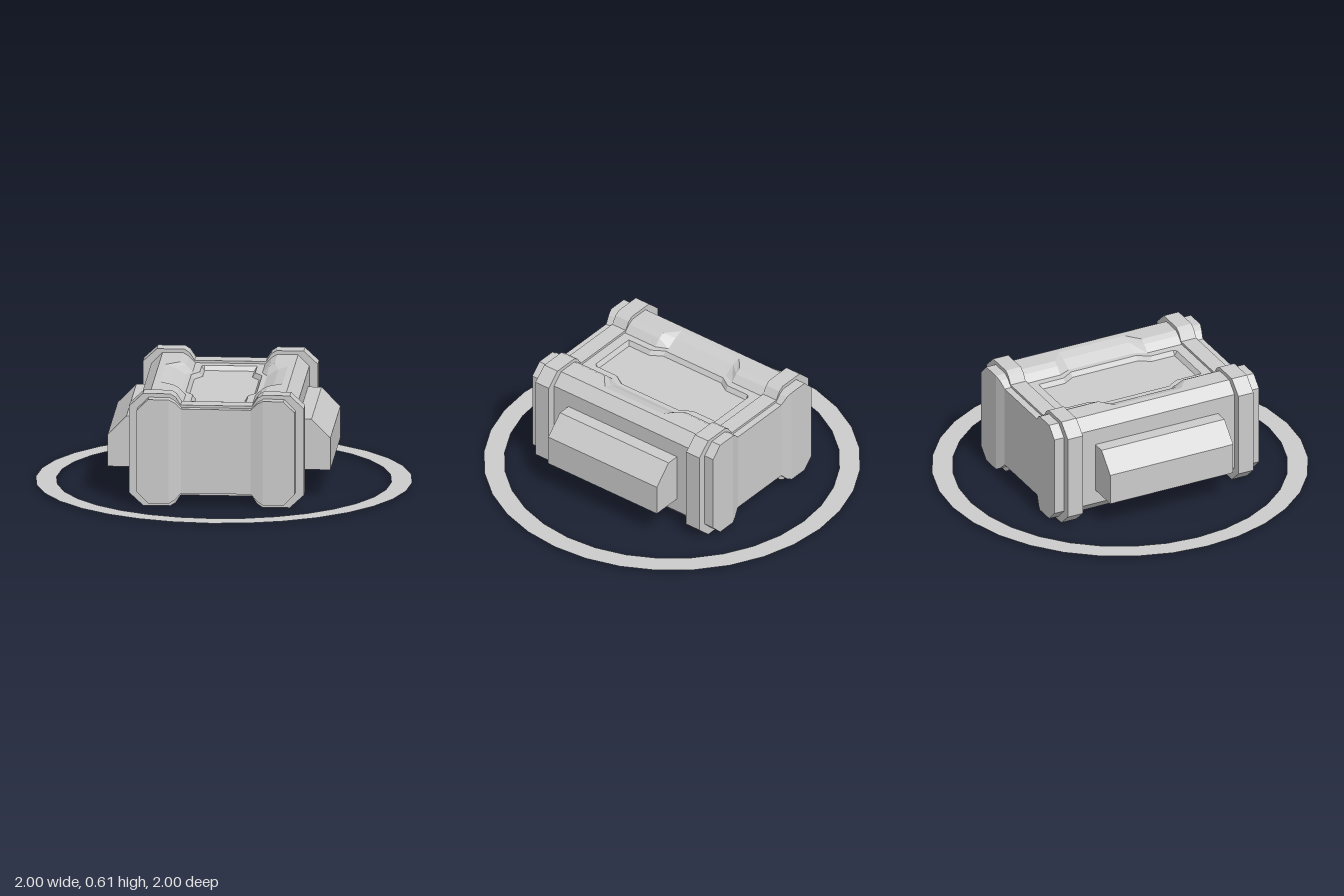
import * as THREE from 'three';

const mat = new THREE.MeshStandardMaterial({ color: 0xcccccc, flatShading: true });
const matDouble = new THREE.MeshStandardMaterial({ color: 0xcccccc, side: THREE.DoubleSide });

// Closed outline from the upper right quarter: mirrored left, then mirrored down about height / 2
function outline(quarter, height) {
  const top = [...quarter, ...quarter.slice().reverse().map(([x, y]) => [-x, y])];
  const bottom = top.slice().reverse().map(([x, y]) => [x, height - y]);
  return [...top, ...bottom];
}

// Cross-section of the case; the rails narrow and the recessed panel widens towards the middle
function caseSection(z) {
  const middle = Math.abs(z) < 0.22;
  const recessed = Math.abs(z) < 0.4;
  const [c, d, e, f, g] = middle ? [0.325, 0.275, 0.215, 0.188, 0.172] : [0.25, 0.22, 0.185, 0.147, 0.132];
  return outline([
    [0.42, 0.53], [0.36, 0.59], [c, 0.59], [d, 0.573], [e, 0.537],
    [f, 0.537], [g, recessed ? 0.512 : 0.537],
  ], 0.615);
}

// Ends step back between the corner posts
function endZ(x) {
  const t = THREE.MathUtils.clamp((Math.abs(x) - 0.185) / 0.065, 0, 1);
  return 0.593 + 0.019 * t;
}

function caseGeometry() {
  const half = [0.612, 0.41, 0.395, 0.26, 0.195];
  const stations = [...half.map(z => -z), ...half.slice().reverse()];
  const last = stations.length - 1;
  const sections = stations.map((z, i) => caseSection(z).map(([x, y]) =>
    [x, y, i === 0 ? -endZ(x) : i === last ? endZ(x) : z]));
  const pos = [];
  const quad = (a, b, c, d) => pos.push(...a, ...b, ...c, ...a, ...c, ...d);
  const n = sections[0].length;
  for (let i = 0; i < last; i++) {
    for (let j = 0; j < n; j++) {
      const k = (j + 1) % n;
      quad(sections[i][j], sections[i][k], sections[i + 1][k], sections[i + 1][j]);
    }
  }
  // End walls in vertical strips
  const back = sections[0], front = sections[last];
  for (let j = 0; j < n / 2 - 1; j++) {
    const p = n - 1 - j, q = n - 2 - j;
    quad(front[j], front[j + 1], front[q], front[p]);
    quad(back[j], back[p], back[q], back[j + 1]);
  }
  const geo = new THREE.BufferGeometry();
  geo.setAttribute('position', new THREE.Float32BufferAttribute(pos, 3));
  geo.computeVertexNormals();
  return geo;
}

// Solid prism along z, centred on z = 0
function prism(points, depth) {
  const shape = new THREE.Shape(points.map(([x, y]) => new THREE.Vector2(x, y)));
  return new THREE.ExtrudeGeometry(shape, { depth, bevelEnabled: false }).translate(0, 0, -depth / 2);
}

export function createModel() {
  const model = new THREE.Group();
  model.name = 'supplyCase';
  const add = (name, geo, material = mat) => {
    const mesh = new THREE.Mesh(geo, material);
    mesh.name = name;
    model.add(mesh);
    return mesh;
  };

  add('caseBody', caseGeometry());

  // Raised bands around each end
  const band = prism(outline([
    [0.465, 0.54], [0.39, 0.61], [0.245, 0.61], [0.217, 0.592], [0.19, 0.55],
  ], 0.61), 0.09);
  add('frontBand', band).position.z = 0.51;
  add('backBand', band).position.z = -0.51;

  // Side boxes with a sloped top edge
  const box = prism([
    [0.4, 0.165], [0.592, 0.165], [0.592, 0.337], [0.492, 0.44], [0.4, 0.44],
  ], 0.735);
  add('leftSideBox', box);
  add('rightSideBox', box).rotation.y = Math.PI;

  // Flat ring around the case
  const ring = new THREE.RingGeometry(0.89, 1, 32).rotateX(-Math.PI / 2);
  add('groundRing', ring, matDouble).position.y = 0.015;

  return model;
}
